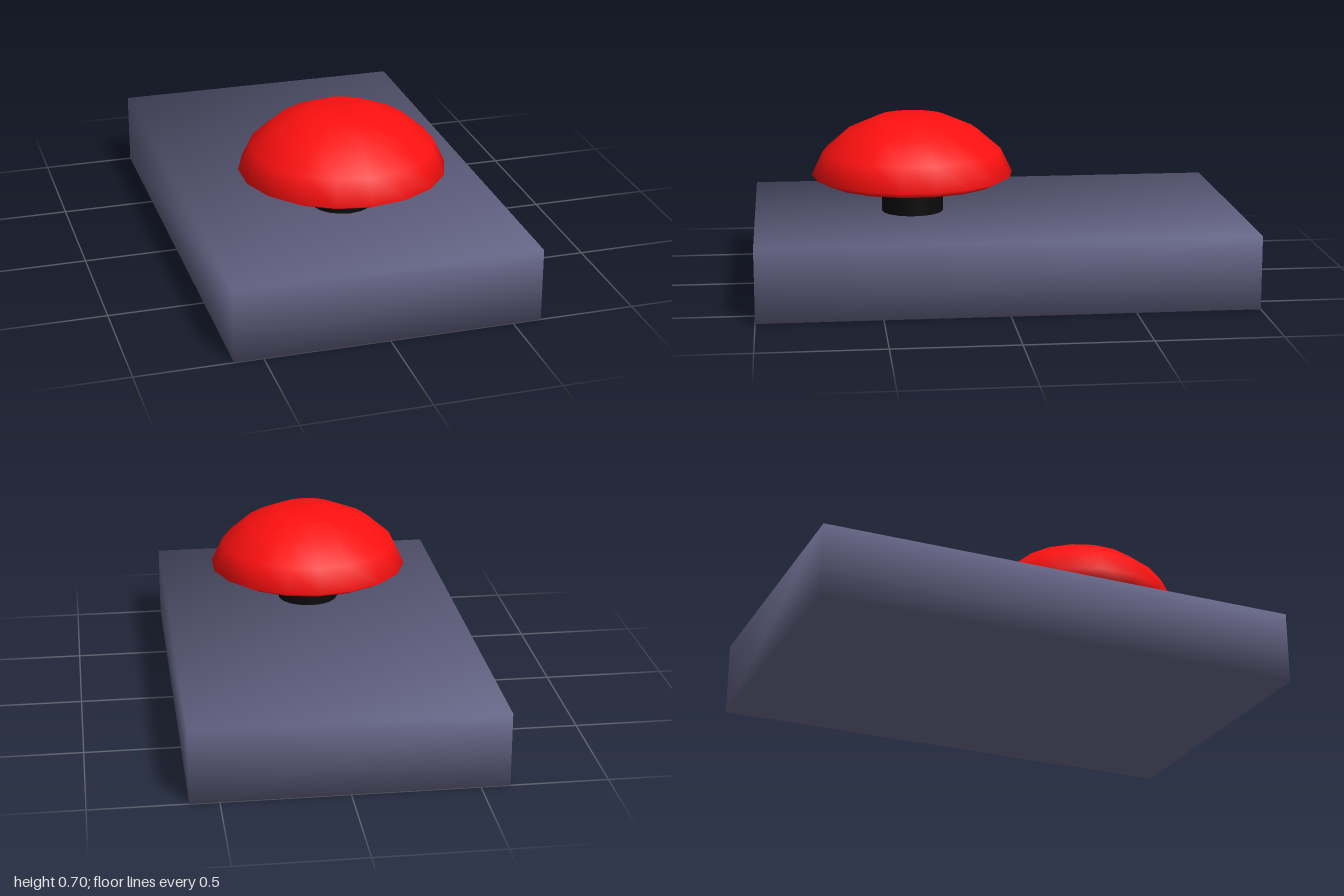
import * as THREE from 'three';

const SIDES = 18;
const BUTTON_Z = 0.346;

function part(name, geometry, color) {
  const mesh = new THREE.Mesh(geometry, new THREE.MeshStandardMaterial({ color }));
  mesh.name = name;
  return mesh;
}

// Box whose faces share one diagonal normal per corner, for soft shading
function softBox(w, h, d) {
  const geometry = new THREE.BoxGeometry(w, h, d);
  const { position, normal } = geometry.attributes;
  const n = new THREE.Vector3();
  for (let i = 0; i < position.count; i++) {
    n.set(Math.sign(position.getX(i)), Math.sign(position.getY(i)), Math.sign(position.getZ(i))).normalize();
    normal.setXYZ(i, n.x, n.y, n.z);
  }
  return geometry;
}

export function createModel() {
  const model = new THREE.Group();
  model.name = 'pushButton';

  // Base slab
  const base = part('base', softBox(1.23, 0.3, 2), 0x666688);
  base.position.y = 0.15;
  model.add(base);

  // Stem between the slab and the cap
  const stem = part('stem', new THREE.CylinderGeometry(0.128, 0.128, 0.13, SIDES), 0x0a0a0a);
  stem.position.set(0, 0.365, BUTTON_Z);
  model.add(stem);

  // Domed cap with a flat top and a bevelled lower rim
  const profile = [
    [0, 0.43], [0.365, 0.43], [0.417, 0.457], [0.37, 0.555],
    [0.27, 0.641], [0.14, 0.698], [0, 0.698],
  ].map(([r, y]) => new THREE.Vector2(r, y));
  const cap = part('buttonCap', new THREE.LatheGeometry(profile, SIDES), 0xff1010);
  cap.position.z = BUTTON_Z;
  model.add(cap);

  return model;
}
